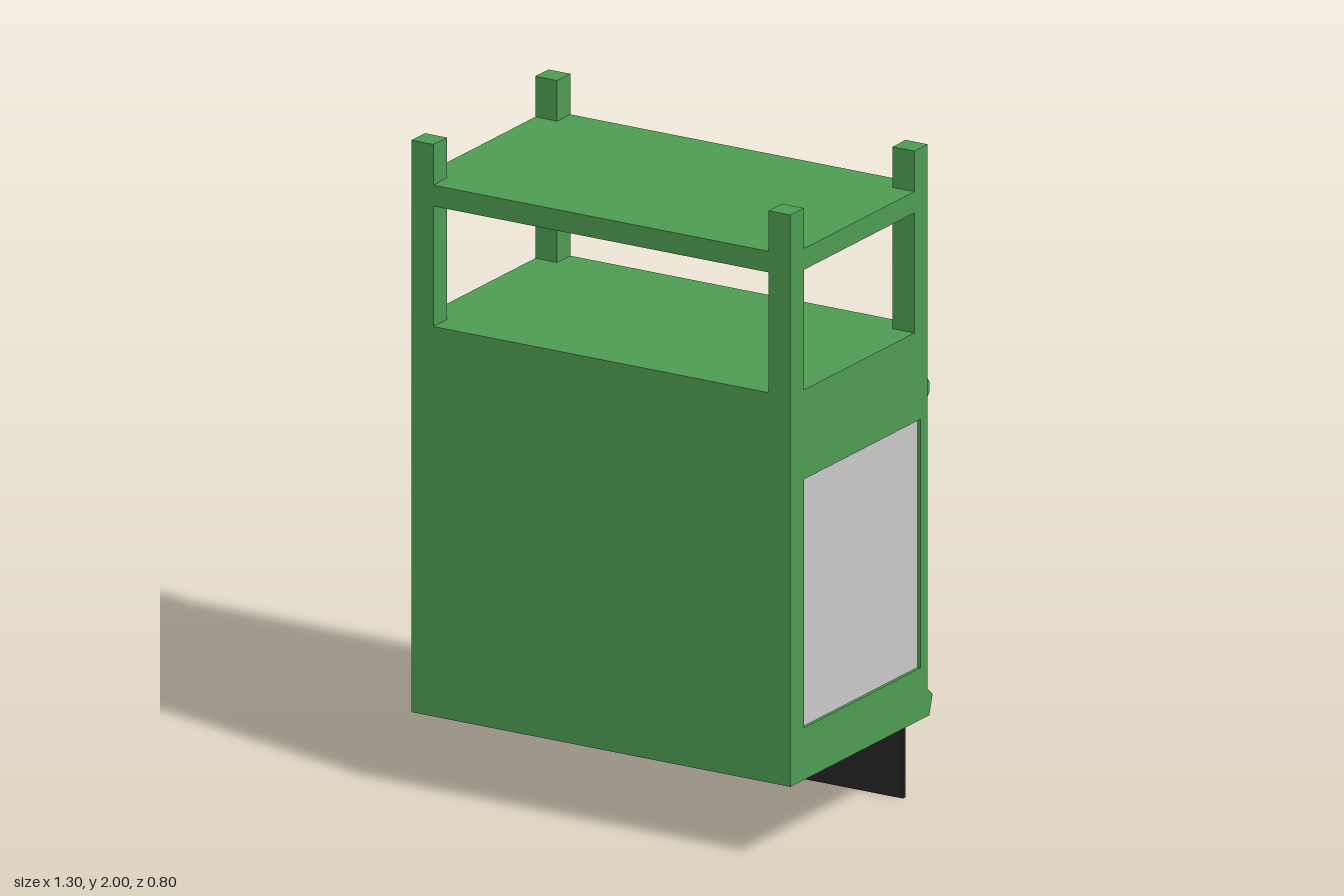
import * as THREE from 'three';

const mat = (color) => new THREE.MeshStandardMaterial({ color, flatShading: true });

export function createModel() {
  const model = new THREE.Group();
  const green = mat(0x4f9e53), grey = mat(0xcccccc), black = mat(0x262626), red = mat(0xb83a30);

  const add = (name, geometry, material) => {
    const mesh = new THREE.Mesh(geometry, material);
    mesh.name = name;
    model.add(mesh);
    return mesh;
  };

  // Box given by its min and max on each axis
  const box = (name, [x0, x1], [y0, y1], [z0, z1], material = green) =>
    add(name, new THREE.BoxGeometry(x1 - x0, y1 - y0, z1 - z0), material)
      .position.set((x0 + x1) / 2, (y0 + y1) / 2, (z0 + z1) / 2);

  // Profile of [z, y] points drawn out along x and centred on x = 0
  const points = (list) => list.map(([z, y]) => new THREE.Vector2(z, y));
  const bar = (name, profile, width, material = green, hole = null) => {
    const shape = new THREE.Shape(points(profile));
    if (hole) shape.holes.push(new THREE.Path(points(hole)));
    const geometry = new THREE.ExtrudeGeometry(shape, { depth: width, bevelEnabled: false });
    geometry.translate(0, 0, -width / 2).rotateY(-Math.PI / 2);
    return add(name, geometry, material);
  };
  const rect = (z0, z1, y0, y1) => [[z0, y0], [z1, y0], [z1, y1], [z0, y1]];

  // Cabinet body, open at the back
  box('frontPanel', [-0.62, 0.62], [0.24, 1.21], [0.37, 0.4]);
  box('counter', [-0.65, 0.65], [1.21, 1.44], [-0.36, 0.4]);
  box('floorBack', [-0.62, 0.62], [0.24, 0.28], [-0.36, -0.302]);
  box('floor', [-0.62, 0.62], [0.24, 0.28], [-0.288, 0.37]);

  for (const s of [-1, 1]) {
    // Framed side wall with an inset pane
    bar('sideFrame', rect(-0.36, 0.4, 0.24, 1.21), 0.03, green, rect(-0.32, 0.325, 0.4, 1.165))
      .position.x = s * 0.635;
    bar('sidePane', rect(-0.32, 0.325, 0.4, 1.165), 0.01, grey).position.x = s * 0.635;

    // Upper corner posts
    const x = s > 0 ? [0.575, 0.65] : [-0.65, -0.575];
    box('frontPost', x, [1.44, 2], [0.325, 0.4]);
    box('backPost', x, [1.44, 2], [-0.36, -0.287]);
  }

  // Upper shelf
  box('topShelf', [-0.65, 0.65], [1.81, 1.875], [-0.36, 0.4]);

  // Lips above and below the back opening
  bar('upperLip', [[-0.36, 1.28], [-0.36, 1.21], [-0.37, 1.21], [-0.388, 1.23], [-0.388, 1.26], [-0.37, 1.28]], 1.28);
  bar('lowerLip', [[-0.36, 0.325], [-0.36, 0.24], [-0.37, 0.24], [-0.388, 0.3]], 1.3);

  // Sliding shutter that drops through the floor
  box('shutter', [-0.61, 0.61], [0, 0.86], [-0.302, -0.288], black);
  bar('shutterRail', [[-0.288, 0.83], [-0.335, 0.83], [-0.36, 0.85], [-0.36, 0.89],
    [-0.335, 0.915], [-0.288, 0.915]], 1.24, red);

  // Pull handle on the shutter rail
  const path = new THREE.CatmullRomCurve3(
    [[-0.075, -0.35], [-0.073, -0.378], [-0.058, -0.39], [0, -0.39],
      [0.058, -0.39], [0.073, -0.378], [0.075, -0.35]].map(([x, z]) => new THREE.Vector3(x, 0.87, z)),
    false, 'centripetal');
  const steel = new THREE.MeshStandardMaterial({ color: 0x262626 });
  add('handle', new THREE.TubeGeometry(path, 32, 0.01, 10), steel);

  return model;
}
